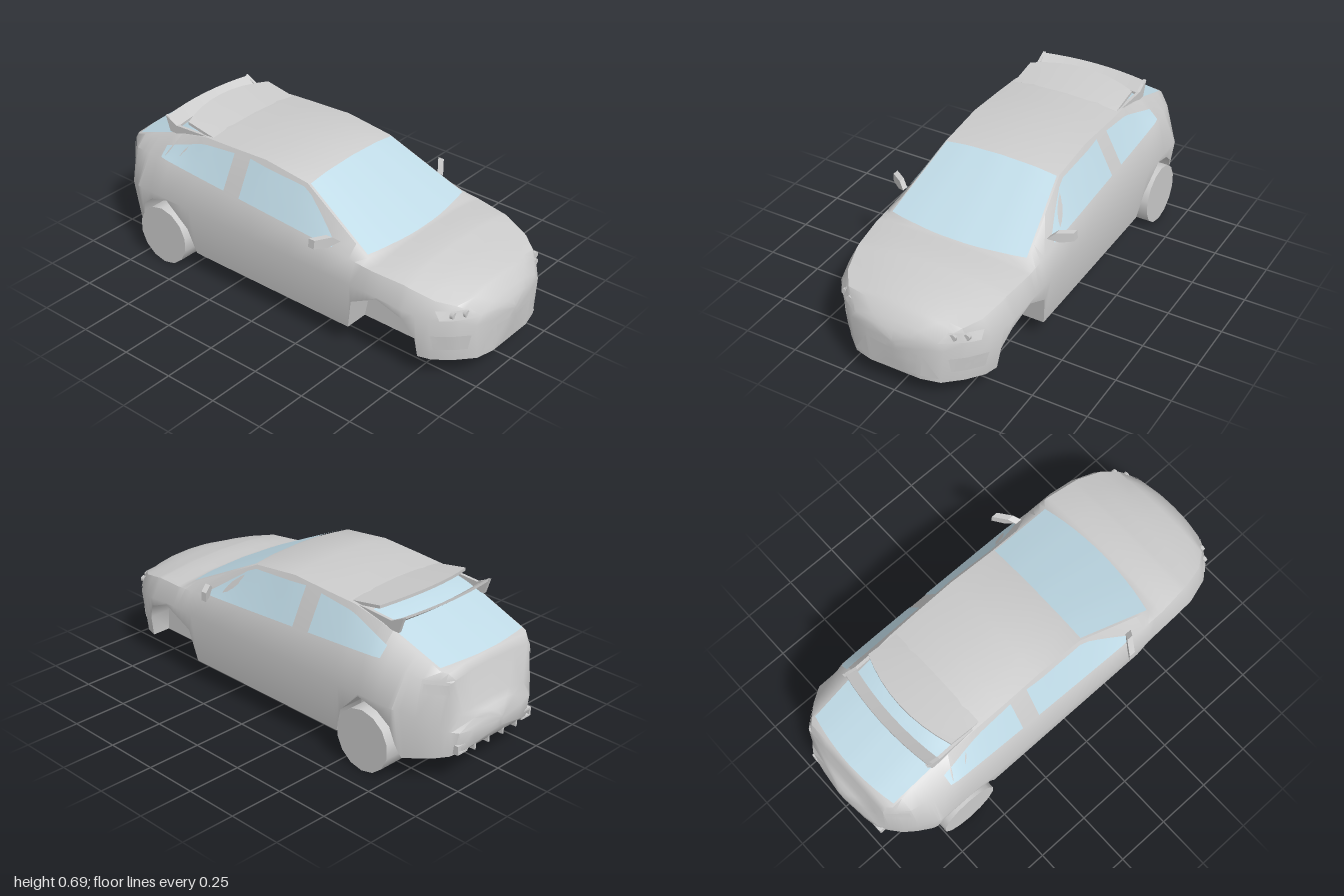
import * as THREE from 'three';
import { toCreasedNormals } from 'three/addons/utils/BufferGeometryUtils.js';

const grey = new THREE.MeshStandardMaterial({ color: 0xcccccc });
const greyThin = new THREE.MeshStandardMaterial({ color: 0xcccccc, side: THREE.DoubleSide });
const glass = new THREE.MeshStandardMaterial({ color: 0xbfdae6, side: THREE.DoubleSide });
const lerp = THREE.MathUtils.lerp;

// Piecewise linear curve through [position, value] pairs
function at(curve, p) {
  if (p <= curve[0][0]) return curve[0][1];
  for (let i = 1; i < curve.length; i++) {
    const [p0, v0] = curve[i - 1], [p1, v1] = curve[i];
    if (p <= p1) return p1 === p0 ? v1 : lerp(v0, v1, (p - p0) / (p1 - p0));
  }
  return curve[curve.length - 1][1];
}

// Body lines along z
const line = {
  floor: [[-1, .2], [-.985, .17], [-.97, .15], [-.94, .13], [-.78, .11], [-.4, .1], [.985, .1], [1, .23]],
  arch: [[-.79, .1], [-.75, .25], [-.69, .3], [-.59, .33], [-.48, .22], [-.444, .1],
    [.43, .1], [.46, .25], [.6, .33], [.72, .28], [.765, .2], [.772, .1]],
  width: [[-1, .02], [-.985, .15], [-.97, .22], [-.9, .31], [-.85, .35], [-.77, .4], [-.5, .405], [.6, .405],
    [.72, .395], [.83, .36], [.9, .3], [.965, .22], [.985, .13], [1, .02]],
  widest: [[-1, .23], [-.94, .25], [-.8, .34], [.6, .34], [.9, .3], [1, .25]],
  beltY: [[-1, .24], [-.95, .3], [-.94, .46], [-.65, .5], [.3, .45], [.5, .43], [.7, .415], [.9, .36], [.985, .29], [1, .26]],
  beltX: [[-1, .015], [-.95, .2], [-.94, .24], [-.85, .315], [-.65, .36], [.3, .375], [.55, .37], [.72, .35],
    [.83, .32], [.9, .27], [.965, .19], [.985, .11], [1, .015]],
  roofX: [[-1, .01], [-.95, .18], [-.94, .22], [-.9, .26], [-.6, .27], [-.3, .275], [.13, .275], [.5, .335],
    [.72, .28], [.9, .2], [.985, .08], [1, .01]],
  drop: [[-1, .003], [-.94, .015], [-.6, .02], [.9, .02], [1, .003]],
  top: [[-1, .25], [-.985, .28], [-.95, .32], [-.94, .48], [-.92, .51], [-.6, .63], [-.45, .665], [-.1, .682],
    [.13, .655], [.53, .455], [.68, .45], [.83, .415], [.92, .38], [.965, .335], [.985, .305], [1, .27]],
};

// Half cross-section from floor centre, through wheel well and side, to roof centre
function section(z) {
  const v = {};
  for (const key in line) v[key] = at(line[key], z);
  const lipY = Math.max(v.floor, v.arch);
  const lipX = lerp(v.width * .92, v.width, Math.max(0, (lipY - v.floor) / (v.widest - v.floor)));
  const well = Math.min(.26, v.width * .8);
  return [[0, v.floor], [well, v.floor], [well, lipY], [lipX, lipY], [v.width, v.widest], [v.beltX, v.beltY],
    [v.roofX, v.top - v.drop], [v.roofX * .6, v.top - v.drop * .3], [0, v.top]];
}

const halfWidth = (z, y) => {
  const pts = section(z).slice(3);
  return y > pts[5][1] || y < pts[0][1] ? -1 : at(pts.map(([px, py]) => [py, px]), y);
};
const topY = (x, z) => at(section(z).slice(5).reverse(), Math.abs(x));

// z of the nose (sign 1) or tail (sign -1) surface at x, y
function endZ(sign, x, y) {
  let inside = .6, outside = 1;
  for (let i = 0; i < 20; i++) {
    const mid = (inside + outside) / 2;
    if (halfWidth(sign * mid, y) >= Math.abs(x)) inside = mid; else outside = mid;
  }
  return sign * inside;
}

function bodyGeometry() {
  const stations = [...new Set(Object.values(line).flat().map((p) => p[0]))].sort((a, b) => a - b);
  const rings = stations.map((z) => {
    const half = section(z);
    const mirrored = half.slice(1, -1).reverse().map(([x, y]) => [-x, y]);
    return [...half, ...mirrored].map(([x, y]) => [x, y, z]);
  });
  const n = rings[0].length;
  rings.unshift(Array(n).fill([0, .23, -1]));
  rings.push(Array(n).fill([0, .25, 1]));
  const index = [];
  for (let i = 0; i < rings.length - 1; i++) {
    for (let j = 0; j < n; j++) {
      const a = i * n + j, b = i * n + (j + 1) % n;
      index.push(a, b, a + n, b, b + n, a + n);
    }
  }
  const g = new THREE.BufferGeometry();
  g.setAttribute('position', new THREE.Float32BufferAttribute(rings.flat(2), 3));
  g.setIndex(index);
  return toCreasedNormals(g, .7);
}

// Surface patch from a rule (u, v in 0..1) -> [x, y, z]
function patch(nu, nv, rule) {
  const g = new THREE.PlaneGeometry(1, 1, nu, nv);
  const p = g.attributes.position;
  for (let i = 0; i < p.count; i++) p.setXYZ(i, ...rule(p.getX(i) + .5, p.getY(i) + .5));
  g.computeVertexNormals();
  return g;
}

// Box bent by a rule (u in -1..1 across, h and t in 0..1) -> [x, y, z]
function slab(rule) {
  const g = new THREE.BoxGeometry(1, 1, 1, 8, 1, 4);
  const p = g.attributes.position;
  for (let i = 0; i < p.count; i++) p.setXYZ(i, ...rule(p.getX(i) * 2, p.getY(i) + .5, .5 - p.getZ(i)));
  return toCreasedNormals(g, .6);
}

// Four-cornered panel laid on the nose or tail
function endPanel(sign, [a, b, c, d]) {
  return patch(6, 3, (u, v) => {
    const x = lerp(lerp(a[0], b[0], u), lerp(d[0], c[0], u), v);
    const y = lerp(lerp(a[1], b[1], u), lerp(d[1], c[1], u), v);
    return [x, y, endZ(sign, x, y) + sign * .005];
  });
}

export function createModel() {
  const car = new THREE.Group();
  car.name = 'car';
  const add = (name, geometry, material = grey) => {
    const mesh = new THREE.Mesh(geometry, material);
    mesh.name = name;
    car.add(mesh);
    return mesh;
  };
  const shape = (pts) => new THREE.Shape(pts.map(([x, y]) => new THREE.Vector2(x, y)));

  add('body', bodyGeometry());

  // Windscreen and rear window follow the body surface
  const window = (z0, z1, bow, inset) => patch(12, 10, (u, v) => {
    const s = u * 2 - 1, z = lerp(z0, z1 - bow * s * s, v);
    const x = s * (at(line.roofX, z) - inset);
    return [x, topY(x, z) + .004, z + Math.sign(z1) * .002];
  });
  add('windscreen', window(.14, .53, .04, .008), glass);
  add('rearWindow', window(-.52, -.915, -.03, .008), glass);

  // Side windows, split by the door pillar
  const upper = [[-.66, .55], [-.45, .62], [-.2, .645], [.14, .62], [.34, .475]];
  const lower = [[-.66, .508], [.34, .455]];
  for (const side of [1, -1]) {
    for (const [name, z0, z1] of [['frontSideWindow', -.18, .34], ['rearSideWindow', -.66, -.27]]) {
      add(name, patch(12, 4, (u, v) => {
        const z = lerp(z0, z1, u), y = lerp(at(lower, z), at(upper, z), v);
        return [side * (halfWidth(z, y) + .004), y, z];
      }), glass);
    }
  }

  // Roof spoiler and the lower wing behind it
  add('roofSpoiler', slab((u, h, t) => [u * .26,
    lerp(topY(u * .26, -.42), .695 - .02 * u * u, t) - (1 - h) * .014, -.42 - t * (.2 - .05 * u * u)]));
  add('rearWing', slab((u, h, t) => [u * .265,
    lerp(.63, .67, t) - (1 - h) * .012 - .004 * u * u, lerp(-.665, -.72, t) + .025 * u * u]));

  for (const side of [1, -1]) {
    const mirror = (pts) => pts.map(([x, y]) => [x * side, y]);

    const plate = new THREE.ExtrudeGeometry(
      shape([[.46, .645], [.62, .595], [.68, .595], [.705, .667], [.64, .635]]), { depth: .014, bevelEnabled: false });
    plate.rotateY(Math.PI / 2).translate(side * .26 - .007, 0, 0);
    add('wingEndPlate', plate);

    // Door mirror, swept back towards its tip
    const housing = new THREE.ExtrudeGeometry(
      shape(mirror([[.35, .485], [.395, .463], [.443, .465], [.44, .505], [.38, .51]])), { depth: .03, bevelEnabled: false });
    const p = housing.attributes.position;
    for (let i = 0; i < p.count; i++) p.setZ(i, p.getZ(i) + .305 - (Math.abs(p.getX(i)) - .4) * .7);
    housing.computeVertexNormals();
    add('doorMirror', housing);

    // Rear wheel
    const wheel = new THREE.CylinderGeometry(.14, .14, .12, 14);
    wheel.rotateZ(Math.PI / 2).rotateX(Math.PI / 14).translate(side * .347, .14, -.62);
    add('rearWheel', wheel);

    // Nose and tail details
    add('headlight', endPanel(1, mirror([[.335, .305], [.197, .302], [.225, .343], [.335, .343]])), greyThin);
    for (const x of [.245, .29]) {
      const bulb = add('headlightBulb', new THREE.CylinderGeometry(.016, .016, .016, 6).rotateX(Math.PI / 2));
      bulb.position.set(side * x, .325, endZ(1, x, .325));
    }
    add('grilleSide', endPanel(1, mirror([[.122, .122], [.2, .122], [.137, .222], [.135, .222]])), greyThin);
    add('fogLight', endPanel(1, mirror([[.24, .155], [.335, .155], [.35, .225], [.235, .225]])), greyThin);
    add('tailLight', endPanel(-1, mirror([[.25, .41], [.325, .41], [.315, .455], [.25, .45]])), greyThin);

    // Diffuser fins and exhaust outlets under the rear bumper
    for (const x of [.045, .13]) {
      add('diffuserFin', new THREE.BoxGeometry(.008, .05, .05)).position.set(side * x, .16, -.955);
    }
    const outlet = shape([[-.03, -.02], [.03, -.02], [.03, .02], [-.03, .02]]);
    outlet.holes.push(shape([[-.02, -.012], [-.02, .012], [.02, .012], [.02, -.012]]));
    const exhaust = add('exhaust', new THREE.ExtrudeGeometry(outlet, { depth: .05, bevelEnabled: false }));
    exhaust.position.set(side * .2, .165, -.975);
  }
  add('grille', endPanel(1, [[-.1, .122], [.1, .122], [.115, .228], [-.115, .228]]), greyThin);

  return car;
}
